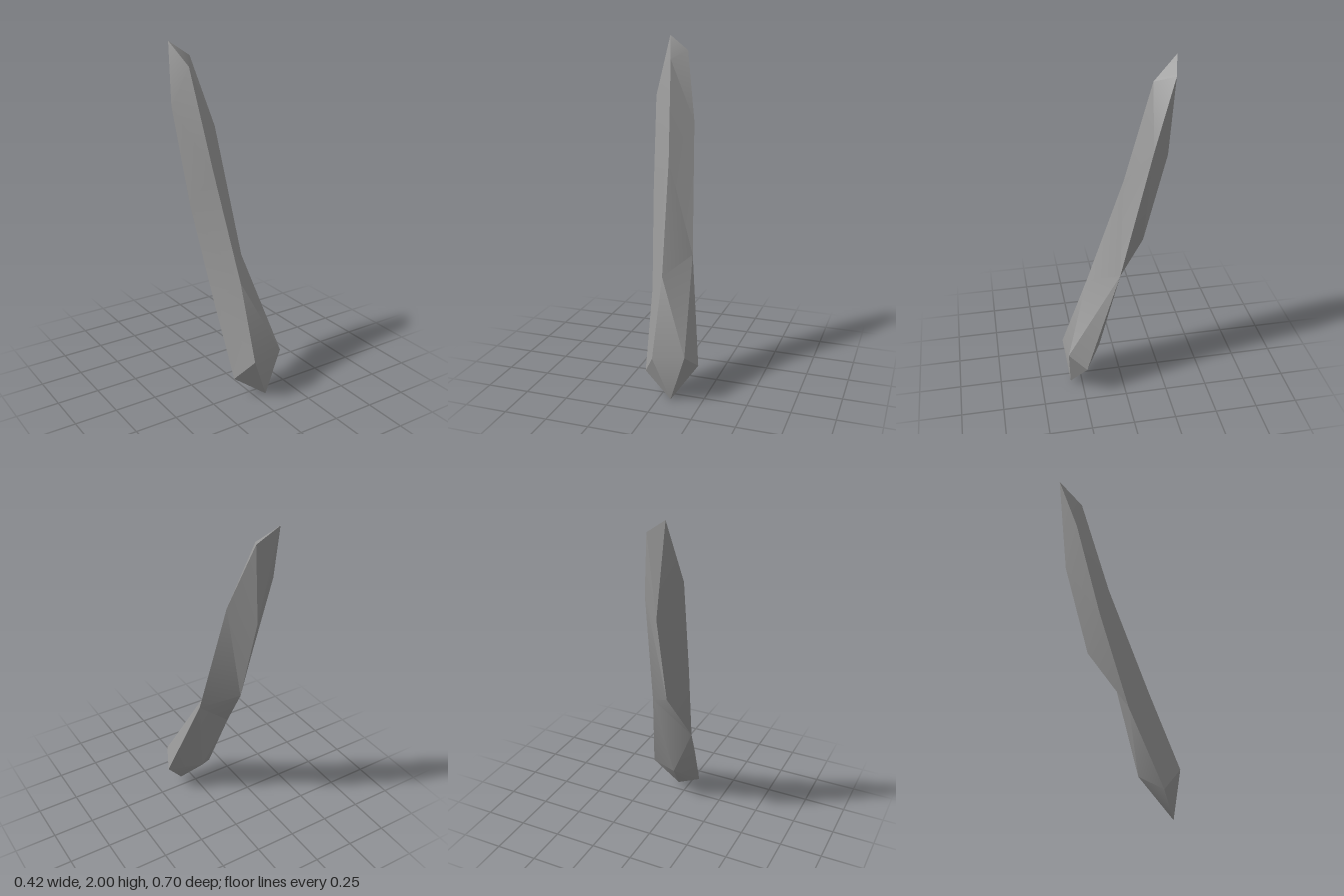
import * as THREE from 'three';
import { toCreasedNormals } from 'three/addons/utils/BufferGeometryUtils.js';

// Corners of the shard, from the tip down to the foot
const corners = {
  A: [-0.16, 2, -0.35], B: [-0.04, 1.915, -0.32], C: [-0.11, 1.87, -0.21], // tip
  D: [-0.21, 1.655, -0.24], F: [-0.18, 1.1, -0.1], G: [-0.13, 0.56, 0.065], H: [-0.107, 0.12, 0.25], // outer -x edge
  E: [0.043, 1.52, -0.187], M: [0.1, 0.775, 0.01], L: [0.207, 0.19, 0.232], // outer +x edge
  O: [-0.064, 1.31, -0.04], N: [-0.025, 0.685, 0.19], J: [-0.03, 0.25, 0.35], K: [0.157, 0.275, 0.335], // front ridge
  P: [-0.08, 1.443, -0.297], Q: [-0.073, 0.9, -0.16], S: [0.017, 0.22, 0.127], // back ridge
  I: [0.07, 0, 0.32], // foot
};

// Each facet group lists its triangles, counter-clockwise from outside
const facets = [
  'CBA CEB OEC OME NMO NKM', // front, +x side
  'NJK JIK KIL KLM', // front foot
  'CAD CDO ODF OFN NFG NGJ JGH JHI', // front, -x side
  'DAP FDP FPQ FQG HGS', // back, -x side
  'HSI ISL LSM MSG', // back foot
  'MGQ MQE EQP EPB BPA', // back, +x side
];

export function createModel() {
  const grey = new THREE.MeshStandardMaterial({ color: 0x999999 });
  grey.name = 'stone grey';

  const positions = [...facets.join('').replaceAll(' ', '')].flatMap((name) => corners[name]);
  const geometry = new THREE.BufferGeometry();
  geometry.setAttribute('position', new THREE.Float32BufferAttribute(positions, 3));

  // Shallow folds stay smooth, ridges stay sharp
  const shard = new THREE.Mesh(toCreasedNormals(geometry, THREE.MathUtils.degToRad(30)), grey);
  shard.name = 'shard';

  const model = new THREE.Group();
  model.name = 'stoneShard';
  model.add(shard);
  return model;
}
